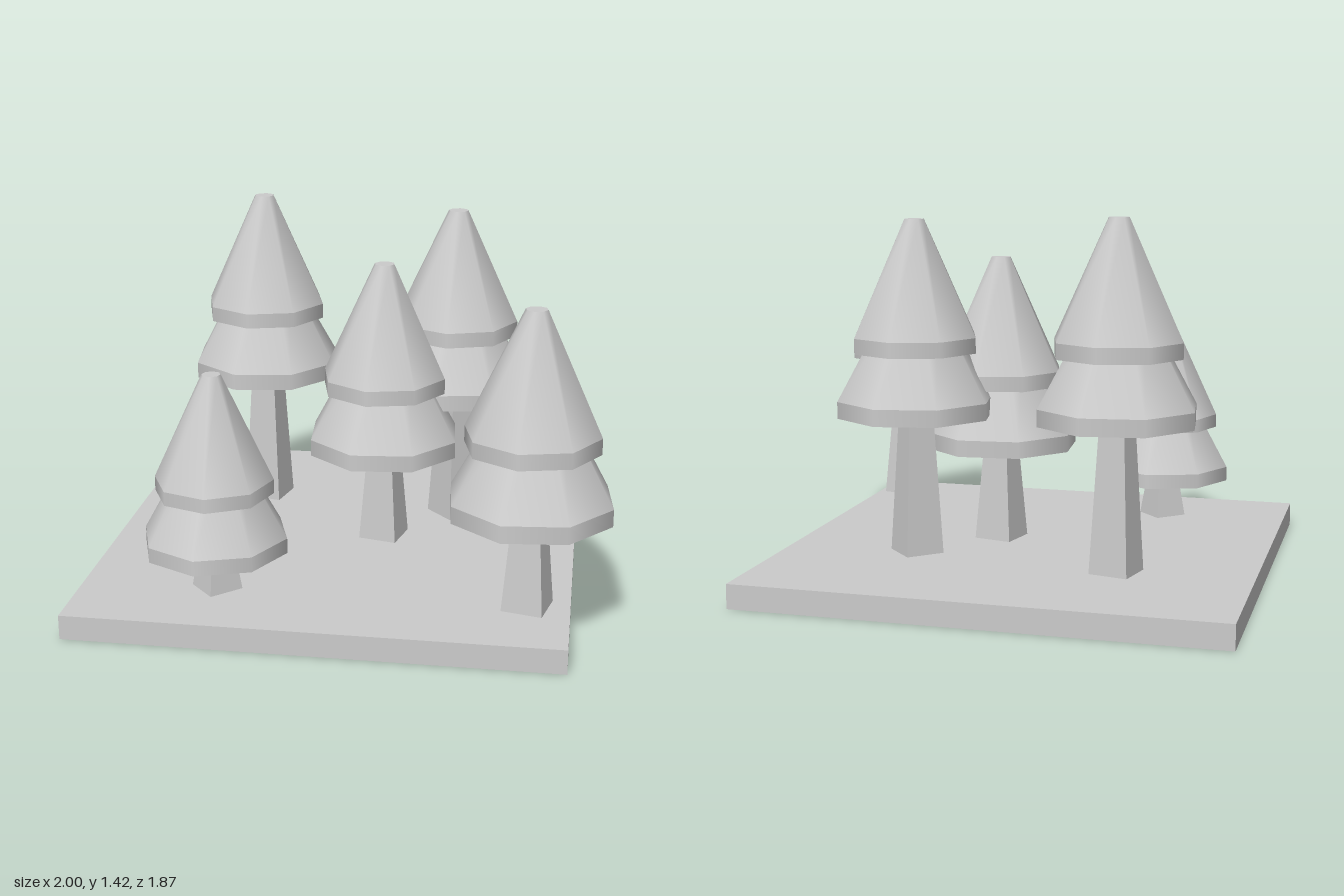
import * as THREE from 'three';

const grey = new THREE.MeshStandardMaterial({ color: 0xcccccc });
const flatGrey = new THREE.MeshStandardMaterial({ color: 0xcccccc, flatShading: true });

// Tapered cylinder from y0 to y1, turned by an angle in degrees from +x towards +z
function frustum(name, rBottom, rTop, y0, y1, sides, degrees, material) {
  const geometry = new THREE.CylinderGeometry(rTop, rBottom, y1 - y0, sides);
  const mesh = new THREE.Mesh(geometry, material);
  mesh.name = name;
  mesh.position.y = (y0 + y1) / 2;
  mesh.rotation.y = -THREE.MathUtils.degToRad(degrees);
  return mesh;
}

// One foliage tier: a straight rim below a tapering cone
function tier(name, radius, rTop, y0, yRim, yTop, degrees) {
  const group = new THREE.Group();
  group.name = name;
  group.add(frustum(name + 'Rim', radius, radius, y0, yRim, 8, degrees, grey));
  group.add(frustum(name + 'Cone', radius, rTop, yRim, yTop, 8, degrees, grey));
  return group;
}

function tree({ name, x, z, ground, crown, scale, turn, trunkTurn }) {
  const group = new THREE.Group();
  group.name = name;
  group.position.set(x, 0, z);

  // Square trunk, reaching a little into the foliage
  const trunk = frustum('trunk', 0.11 * scale, 0.07 * scale, ground, crown + 0.03, 4, trunkTurn, flatGrey);
  group.add(trunk);

  // Two foliage tiers, the upper one slightly turned
  const foliage = new THREE.Group();
  foliage.name = 'foliage';
  foliage.position.y = crown;
  foliage.scale.setScalar(scale);
  foliage.add(tier('lowerTier', 0.31, 0.1, 0, 0.065, 0.44, turn));
  foliage.add(tier('upperTier', 0.25, 0.04, 0.25, 0.31, 0.76, turn - 8));
  group.add(foliage);
  return group;
}

export function createModel() {
  const model = new THREE.Group();
  model.name = 'treeGrove';

  // Ground slab
  const slab = new THREE.Mesh(new THREE.BoxGeometry(1.86, 0.095, 1.86), flatGrey);
  slab.name = 'groundSlab';
  slab.position.set(-0.07, 0.0475, -0.005);
  model.add(slab);

  // Trees
  const trees = [
    { name: 'backRightTree', x: -0.48, z: -0.4, ground: 0.09, crown: 0.66, scale: 1, turn: 15, trunkTurn: 58 },
    { name: 'backLeftTree', x: 0.34, z: -0.3, ground: 0.09, crown: 0.64, scale: 1, turn: 12, trunkTurn: 2 },
    { name: 'middleTree', x: 0.08, z: 0, ground: 0.1, crown: 0.48, scale: 1, turn: 17, trunkTurn: 58 },
    { name: 'frontLeftTree', x: 0.7, z: 0.64, ground: 0.12, crown: 0.49, scale: 1, turn: 17, trunkTurn: 58 },
    { name: 'frontRightTree', x: -0.48, z: 0.59, ground: 0.09, crown: 0.26, scale: 0.9, turn: 4, trunkTurn: 2 },
  ];
  for (const t of trees) model.add(tree(t));

  return model;
}
